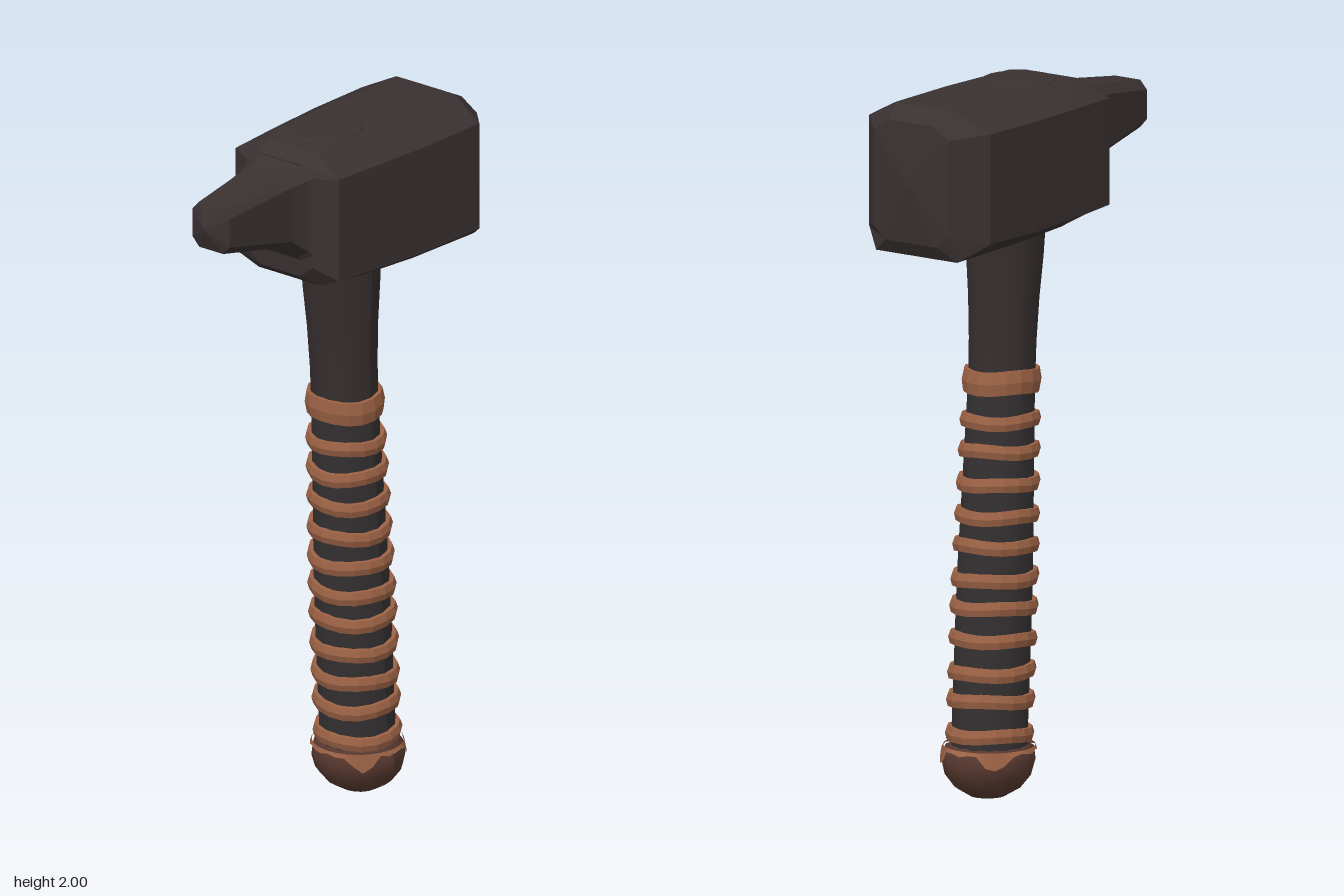
import * as THREE from 'three';

const mat = (name, color) => {
  const m = new THREE.MeshStandardMaterial({ color });
  m.name = name;
  return m;
};

// Centre line of the slightly leaning handle
const axisX = (y) => 0.15 - 0.055 * Math.min(y, 1.2) - 0.04 * Math.max(0, y - 1.2);

// Radius of the handle at a height
const gripRadius = (y) => 0.11 - 0.014 * Math.max(0, (y - 0.6) / 0.6);

// Gives every face its own normal
function faceted(geo) {
  const g = geo.index ? geo.toNonIndexed() : geo;
  g.computeVertexNormals();
  return g;
}

// Turned part that follows the handle's lean; rule may move each vertex
function turned(profile, segments, rule) {
  const geo = new THREE.LatheGeometry(profile.map(([r, y]) => new THREE.Vector2(r, y)), segments);
  const p = geo.attributes.position;
  const v = new THREE.Vector3();
  for (let i = 0; i < p.count; i++) {
    v.fromBufferAttribute(p, i);
    const cx = axisX(v.y);
    if (rule) rule(v);
    p.setXYZ(i, v.x + cx, v.y, v.z);
  }
  geo.computeVertexNormals();
  return geo;
}

// Eight-sided cross-section of the head. Side corners may sit at another x than top and bottom.
function section({ xTop, xSide = xTop, xBot = xTop, z, zTop, zBot, top, topSide, botSide, bot }) {
  const half = [[xTop, top, zTop], [xSide, topSide, z], [xSide, botSide, z], [xBot, bot, zBot]];
  const mirror = half.map(([a, b, c]) => [a, b, -c]).reverse();
  return [...half, ...mirror];
}

// Skin through cross-sections running along +x, closed with a shallow point at both ends
function loft(rings, startPoint, endPoint) {
  const out = [];
  const n = rings[0].length;
  for (let j = 0; j < n; j++) {
    const k = (j + 1) % n;
    for (let i = 0; i < rings.length - 1; i++) {
      const [a, b, c, d] = [rings[i][j], rings[i][k], rings[i + 1][k], rings[i + 1][j]];
      out.push(...a, ...b, ...c, ...a, ...c, ...d);
    }
    const last = rings[rings.length - 1];
    out.push(...startPoint, ...rings[0][k], ...rings[0][j]);
    out.push(...endPoint, ...last[j], ...last[k]);
  }
  const geo = new THREE.BufferGeometry();
  geo.setAttribute('position', new THREE.Float32BufferAttribute(out, 3));
  geo.computeVertexNormals();
  return geo;
}

export function createModel() {
  const model = new THREE.Group();
  model.name = 'hammer';

  const iron = mat('dark iron', 0x3a3131);
  const shaftWood = mat('dark shaft', 0x362e2e);
  const gripDark = mat('dark grip', 0x343031);
  const leather = mat('leather strap', 0x9a6144);
  const capBrown = mat('pommel brown', 0x57382f);
  leather.side = THREE.DoubleSide;

  const add = (name, geo, material, parent = model) => {
    const mesh = new THREE.Mesh(geo, material);
    mesh.name = name;
    parent.add(mesh);
    return mesh;
  };

  // Head block with bevelled edges and a bulging striking face
  add('headBlock', loft([
    section({ xTop: -0.19, z: 0.115, zTop: 0.07, zBot: 0.07, top: 1.965, topSide: 1.93, botSide: 1.67, bot: 1.635 }),
    section({ xTop: -0.14, xSide: -0.16, xBot: -0.15, z: 0.185, zTop: 0.09, zBot: 0.11, top: 1.987, topSide: 1.94, botSide: 1.64, bot: 1.605 }),
    section({ xTop: -0.08, xSide: 0, xBot: 0, z: 0.198, zTop: 0.1, zBot: 0.14, top: 1.996, topSide: 1.94, botSide: 1.635, bot: 1.6 }),
    section({ xTop: 0.2, z: 0.21, zTop: 0.105, zBot: 0.15, top: 1.997, topSide: 1.94, botSide: 1.63, bot: 1.592 }),
    section({ xTop: 0.43, xSide: 0.41, xBot: 0.47, z: 0.21, zTop: 0.105, zBot: 0.14, top: 1.993, topSide: 1.94, botSide: 1.63, bot: 1.58 }),
    section({ xTop: 0.495, z: 0.13, zTop: 0.075, zBot: 0.09, top: 1.96, topSide: 1.925, botSide: 1.655, bot: 1.62 }),
  ], [-0.2, 1.8, 0], [0.513, 1.79, 0]), iron);

  // Tapered peen, flaring where it meets the block
  const peen = (x, z, top, bot) => section({
    xTop: x, z, zTop: z * 0.65, zBot: z * 0.65, top, topSide: top - 0.025, botSide: bot + 0.025, bot,
  });
  add('peen', loft([
    peen(-0.485, 0.066, 1.916, 1.783),
    peen(-0.25, 0.092, 1.945, 1.735),
    peen(-0.2, 0.11, 1.955, 1.695),
    peen(-0.16, 0.15, 1.975, 1.64),
  ], [-0.515, 1.85, 0], [-0.15, 1.8, 0]), iron);

  // Shaft end showing through the top of the head
  const plug = faceted(new THREE.CylinderGeometry(0.1, 0.108, 0.008, 18));
  plug.translate(0.005, 1.996, 0);
  add('shaftEnd', plug, iron);

  // Neck of the shaft, widening into the head
  add('shaftNeck', turned(
    [[0.094, 1.16], [0.095, 1.28], [0.1, 1.4], [0.109, 1.52], [0.114, 1.64]], 14), shaftWood);

  // Grip under the strap
  const gripProfile = [];
  for (let i = 0; i <= 8; i++) {
    const y = 0.13 + (1.18 - 0.13) * i / 8;
    gripProfile.push([gripRadius(y) - 0.003, y]);
  }
  add('grip', turned(gripProfile, 14), gripDark);

  // Strap turns, each a little tilted and uneven
  const strap = new THREE.Group();
  strap.name = 'strapTurns';
  model.add(strap);
  const heights = [0.185, 0.28, 0.36, 0.45, 0.54, 0.62, 0.71, 0.795, 0.885, 0.975, 1.06, 1.17];
  heights.forEach((y, i) => {
    const topBand = i === heights.length - 1;
    const h = topBand ? 0.033 : 0.019;
    const r = gripRadius(y);
    const profile = [[r - 0.012, y - h], [r + 0.009, y - h], [r + 0.014, y], [r + 0.008, y + h], [r - 0.012, y + h]];
    const slope = topBand ? 0.03 : 0.05 + 0.03 * Math.sin(i * 2.3);
    add('strapTurn', faceted(turned(profile, 16, (v) => {
      const angle = Math.atan2(v.x, v.z);
      v.y += slope * v.x - 0.04 * v.z + 0.003 * Math.sin(angle * 3 + i * 1.7);
    })), leather, strap);
  });

  // Rounded pommel
  add('pommel', turned([[0, 0], [0.05, 0.01], [0.092, 0.035], [0.121, 0.072],
    [0.13, 0.108], [0.124, 0.145], [0.1, 0.157]], 16), capBrown);

  // Ragged strap end lapping over the pommel in tongues
  add('strapTongues', turned([[0.134, 0.1], [0.127, 0.152]], 32, (v) => {
    if (v.y > 0.12) return;
    const angle = Math.atan2(v.x, v.z);
    const hidden = v.x < 0 && v.z < 0;
    const drop = hidden ? 0.1 : Math.max(0.1, -Math.cos(4 * angle));
    v.y = 0.146 - 0.045 * drop + 0.004 * Math.sin(angle * 11);
  }), leather);

  return model;
}
